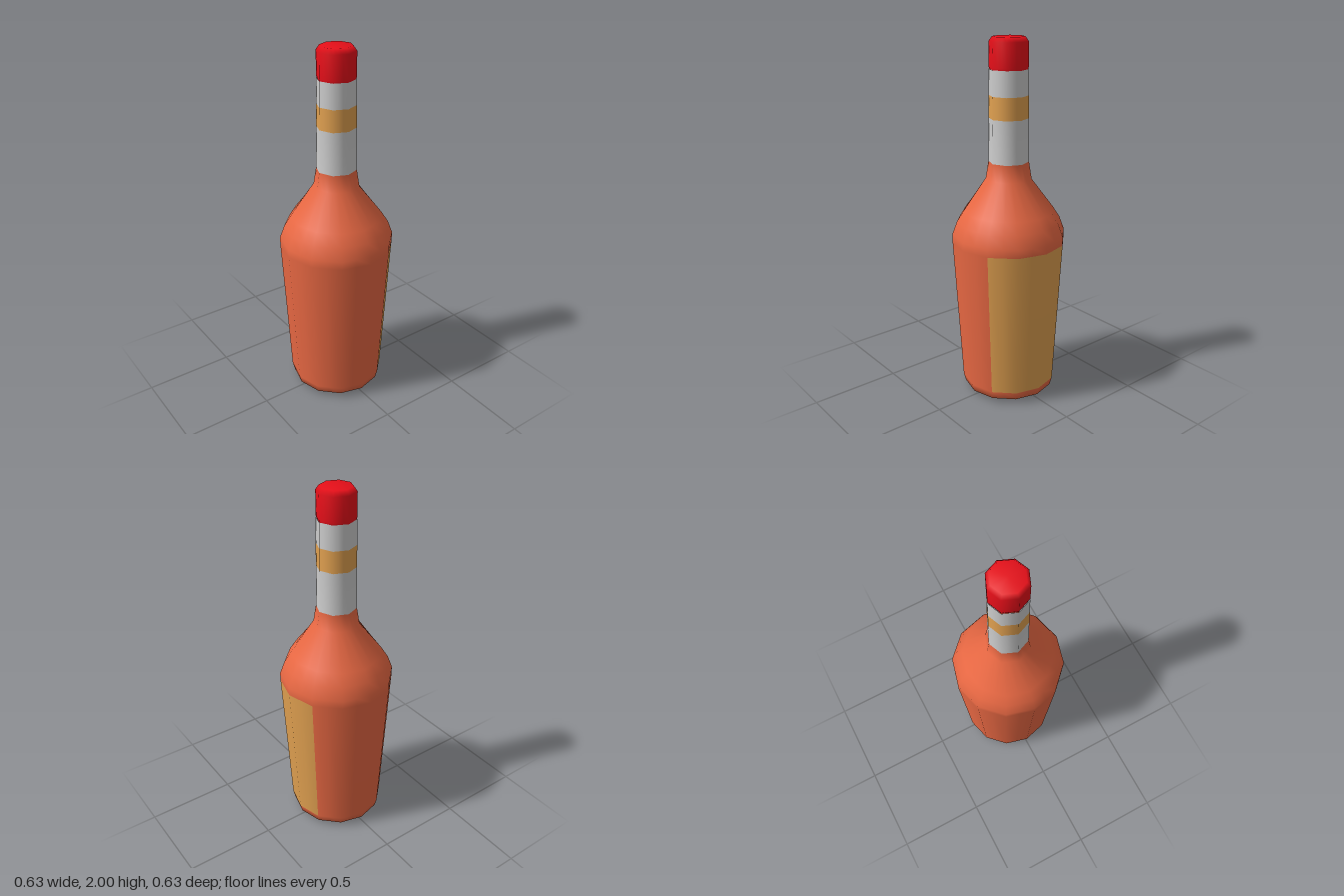
import * as THREE from 'three';

const COLUMNS = 24; // shares corners with both the 12-sided body and 8-sided neck

// Radius factor of a regular polygon with a corner at angle 0
function polygonFactor(angle, sides) {
  const step = (2 * Math.PI) / sides;
  const a = ((angle % step) + step) % step;
  return Math.cos(step / 2) / Math.cos(a - step / 2);
}

// Lathe whose rings are polygons: rows are [radius, y, sides]
function polygonLathe(rows) {
  const geometry = new THREE.LatheGeometry(rows.map(([r, y]) => new THREE.Vector2(r, y)), COLUMNS);
  const pos = geometry.attributes.position;
  for (let i = 0; i < pos.count; i++) {
    const angle = (Math.floor(i / rows.length) / COLUMNS) * 2 * Math.PI;
    const f = polygonFactor(angle, rows[i % rows.length][2]);
    pos.setX(i, pos.getX(i) * f);
    pos.setZ(i, pos.getZ(i) * f);
  }
  return geometry;
}

// Keeps only the faces for which test(row, column) is true; normals stay shared
function pick(geometry, rowCount, test) {
  const part = geometry.clone();
  const index = Array.from(geometry.index.array);
  part.setIndex(index.filter((_, k) => {
    const quad = Math.floor(k / 6);
    return test(quad % (rowCount - 1), Math.floor(quad / (rowCount - 1)));
  }));
  return part;
}

export function createModel() {
  const group = new THREE.Group();
  const add = (name, geometry, color) => {
    const mesh = new THREE.Mesh(geometry, new THREE.MeshStandardMaterial({ color }));
    mesh.name = name;
    group.add(mesh);
  };

  // Bottle profile; a repeated row makes a sharp edge
  const bottle = [
    [0, 0, 12], [0.2, 0, 12], [0.2, 0, 12], [0.256, 0.025, 12], [0.268, 0.07, 12],
    [0.314, 0.9, 12], [0.314, 0.945, 12], [0.288, 1.015, 12], [0.25, 1.075, 12],
    [0.125, 1.25, 8], [0.11, 1.345, 8],
    [0.107, 1.58, 8], [0.106, 1.7, 8], [0.104, 1.835, 8],
  ];
  const skin = polygonLathe(bottle);
  const n = bottle.length;
  // The label covers three body facets, from 30 to 120 degrees
  const isLabel = (row, col) => row === 4 && col >= 2 && col < 8;
  add('body', pick(skin, n, (row, col) => row < 10 && !isLabel(row, col)), 0xe86843);
  add('label', pick(skin, n, isLabel), 0xe0a050);
  add('lowerNeck', pick(skin, n, (row) => row === 10), 0xcccccc);
  add('neckBand', pick(skin, n, (row) => row === 11), 0xe0a050);
  add('upperNeck', pick(skin, n, (row) => row === 12), 0xcccccc);

  // Cap with a small rounded top edge
  add('cap', polygonLathe([
    [0, 1.83, 8], [0.1, 1.83, 8], [0.1, 1.83, 8], [0.104, 1.845, 8],
    [0.104, 1.975, 8], [0.086, 2, 8], [0, 2, 8],
  ]), 0xe60f19);

  return group;
}
